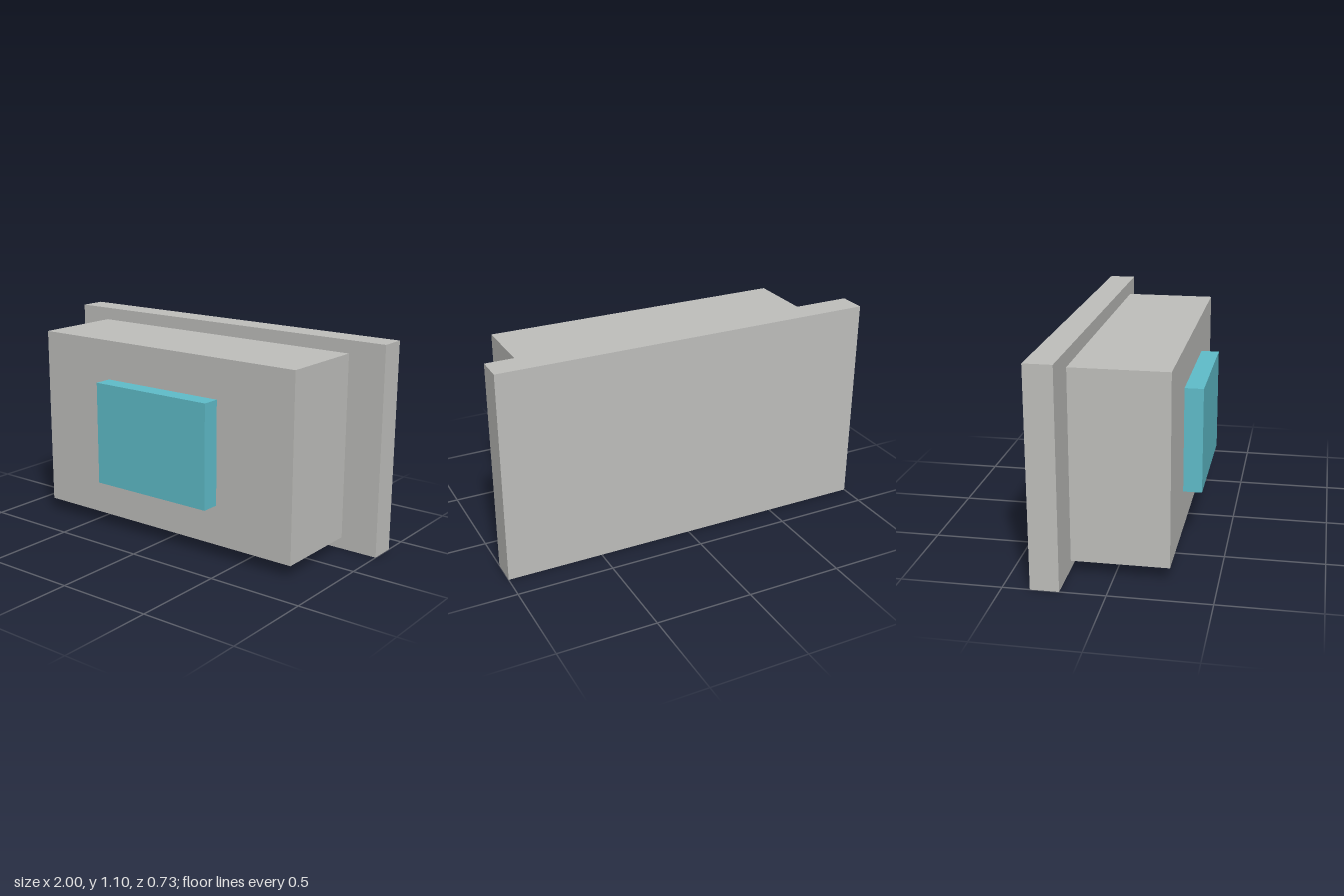
import * as THREE from 'three';

const grey = new THREE.MeshStandardMaterial({ color: 0xbfbfbc });
grey.name = 'light grey';
const teal = new THREE.MeshStandardMaterial({ color: 0x5fbdca });
teal.name = 'teal';

// Box given by its lower and upper corners
function block(name, material, [x0, y0, z0], [x1, y1, z1]) {
  const mesh = new THREE.Mesh(new THREE.BoxGeometry(x1 - x0, y1 - y0, z1 - z0), material);
  mesh.position.set((x0 + x1) / 2, (y0 + y1) / 2, (z0 + z1) / 2);
  mesh.name = name;
  return mesh;
}

export function createModel() {
  const model = new THREE.Group();
  model.name = 'wallPanelUnit';
  model.add(
    // Wide plate at the back, separated from the housing by a narrow gap
    block('backPlate', grey, [-1, 0, -0.365], [1, 1.1, -0.224]),
    // Deep main housing
    block('housing', grey, [-0.805, 0.067, -0.213], [0.805, 1.035, 0.27]),
    // Raised panel on the front
    block('frontPanel', teal, [-0.357, 0.277, 0.27], [0.355, 0.826, 0.366]),
  );
  return model;
}
